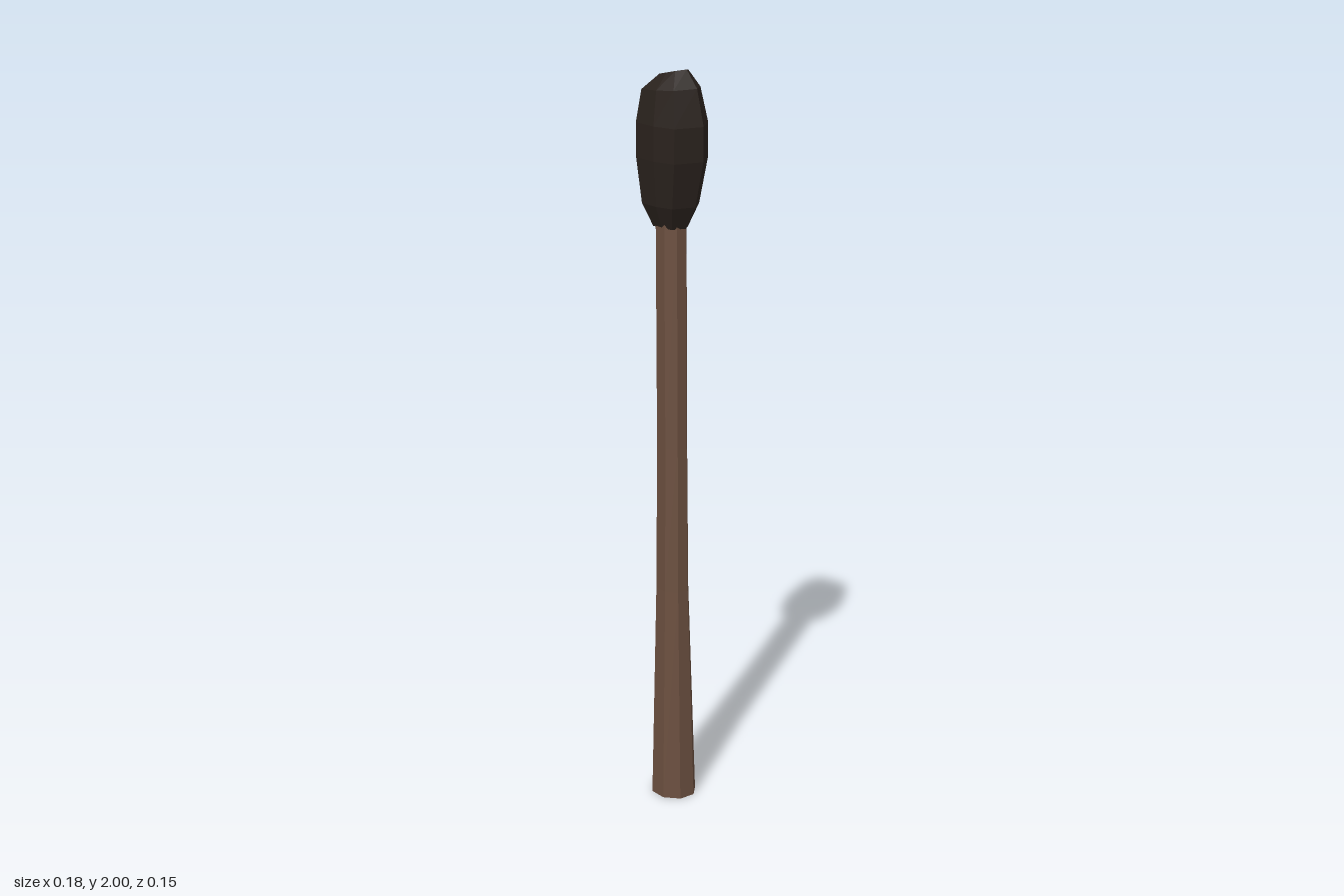
import * as THREE from 'three';

// Uneven eight-sided outline (x, z), scaled to about -1..1
const headOutline = [[-0.9, -0.73], [-0.22, -1], [0.49, -1], [1, -0.32], [0.79, 0.72], [0.11, 0.97], [-0.7, 0.97], [-1, 0.11]];
const stickOutline = Array.from({ length: 8 }, (_, i) => {
  const a = (i + 0.5) * Math.PI / 4;
  return [Math.cos(a) / 0.924, Math.sin(a) / 0.924];
});

// Joins scaled copies of an outline; each ring is [y, centreX, centreZ, radiusX, radiusZ, tilt]
function loft(name, outline, rings, color, { top = false, bottom = false } = {}) {
  const n = outline.length, pos = [], index = [];
  const addRing = ([y, cx, cz, rx, rz, tilt = 0]) =>
    outline.forEach(([x, z]) => pos.push(cx + x * rx, y + x * tilt, cz + z * rz));
  rings.forEach(addRing);
  for (let r = 0; r < rings.length - 1; r++) {
    for (let i = 0; i < n; i++) {
      const a = r * n + i, b = r * n + (i + 1) % n;
      index.push(a, a + n, b, b, a + n, b + n);
    }
  }
  const last = (rings.length - 1) * n;
  for (let i = 1; i < n - 1; i++) {
    if (top) index.push(last, last + i + 1, last + i);
    if (bottom) index.push(0, i, i + 1);
  }
  const indexed = new THREE.BufferGeometry();
  indexed.setAttribute('position', new THREE.Float32BufferAttribute(pos, 3));
  indexed.setIndex(index);
  const geometry = indexed.toNonIndexed();
  geometry.computeVertexNormals();
  const mesh = new THREE.Mesh(geometry, new THREE.MeshStandardMaterial({
    color, flatShading: true, side: THREE.DoubleSide,
  }));
  mesh.name = name;
  return mesh;
}

export function createModel() {
  const group = new THREE.Group();
  group.name = 'cattail';

  // Slightly flared, open-ended stalk
  group.add(loft('stalk', stickOutline, [
    [0, -0.005, -0.003, 0.06, 0.055],
    [0.6, -0.006, 0.001, 0.047, 0.039],
    [1.0, -0.008, 0, 0.044, 0.036],
    [1.62, -0.012, 0, 0.044, 0.036],
  ], 0x6b4f3f));

  // Faceted seed head with a sloping crown
  group.add(loft('seedHead', headOutline, [
    [1.59, -0.01, 0, 0.046, 0.036],
    [1.65, -0.008, 0, 0.073, 0.06],
    [1.77, 0, 0, 0.091, 0.075],
    [1.86, 0, 0, 0.092, 0.075],
    [1.948, -0.006, 0, 0.077, 0.06, 0.006],
    [1.991, 0.003, 0, 0.038, 0.029, 0.009],
  ], 0x2a221d, { top: true, bottom: true }));

  return group;
}
